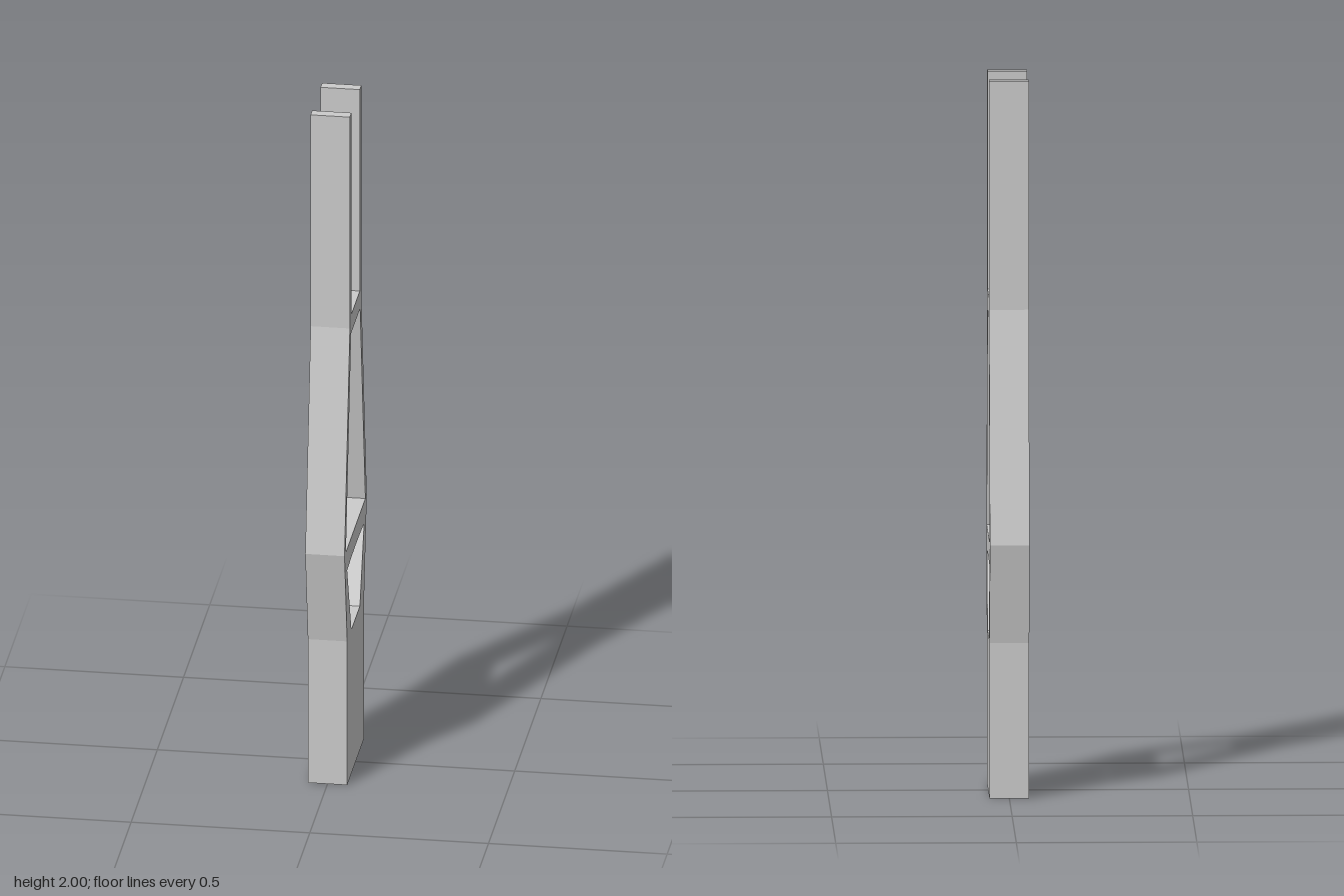
import * as THREE from 'three';

const WIDTH = 0.11;

// Mirrors a half profile of [z, y] points into a closed loop
function mirrored(half) {
  const other = half.map(([z, y]) => [-z, y]).reverse();
  return [...half, ...other].map(([z, y]) => new THREE.Vector2(z, y));
}

// Extrudes a side profile across the width, centred on x = 0
function slab(name, shape, material) {
  const geometry = new THREE.ExtrudeGeometry(shape, { depth: WIDTH, bevelEnabled: false, curveSegments: 12 });
  geometry.translate(0, 0, -WIDTH / 2);
  geometry.rotateY(Math.PI / 2);
  const mesh = new THREE.Mesh(geometry, material);
  mesh.name = name;
  return mesh;
}

export function createModel() {
  const group = new THREE.Group();
  group.name = 'forkedFrame';
  const material = new THREE.MeshStandardMaterial({ color: 0xcccccc, flatShading: true });

  // Frame: solid base, bowed side arms, upper bridge and two upright prongs
  const frame = new THREE.Shape(mirrored([
    [0.162, 0], [0.162, 0.435], [0.212, 0.715], [0.11, 1.36],
    [0.11, 2], [0.08, 2], [0.08, 1.39],
  ]));
  // Opening between the arms
  frame.holes.push(new THREE.Path(mirrored([
    [0.081, 0.435], [0.186, 0.715], [0.086, 1.335],
  ])));
  group.add(slab('frame', frame, material));

  // Crossbar with slanted ends and a slightly arched underside
  const bar = new THREE.Shape();
  bar.moveTo(-0.162, 0.65);
  bar.quadraticCurveTo(0, 0.662, 0.162, 0.65);
  bar.lineTo(0.186, 0.715);
  bar.lineTo(-0.186, 0.715);
  bar.closePath();
  group.add(slab('crossbar', bar, material));

  return group;
}
